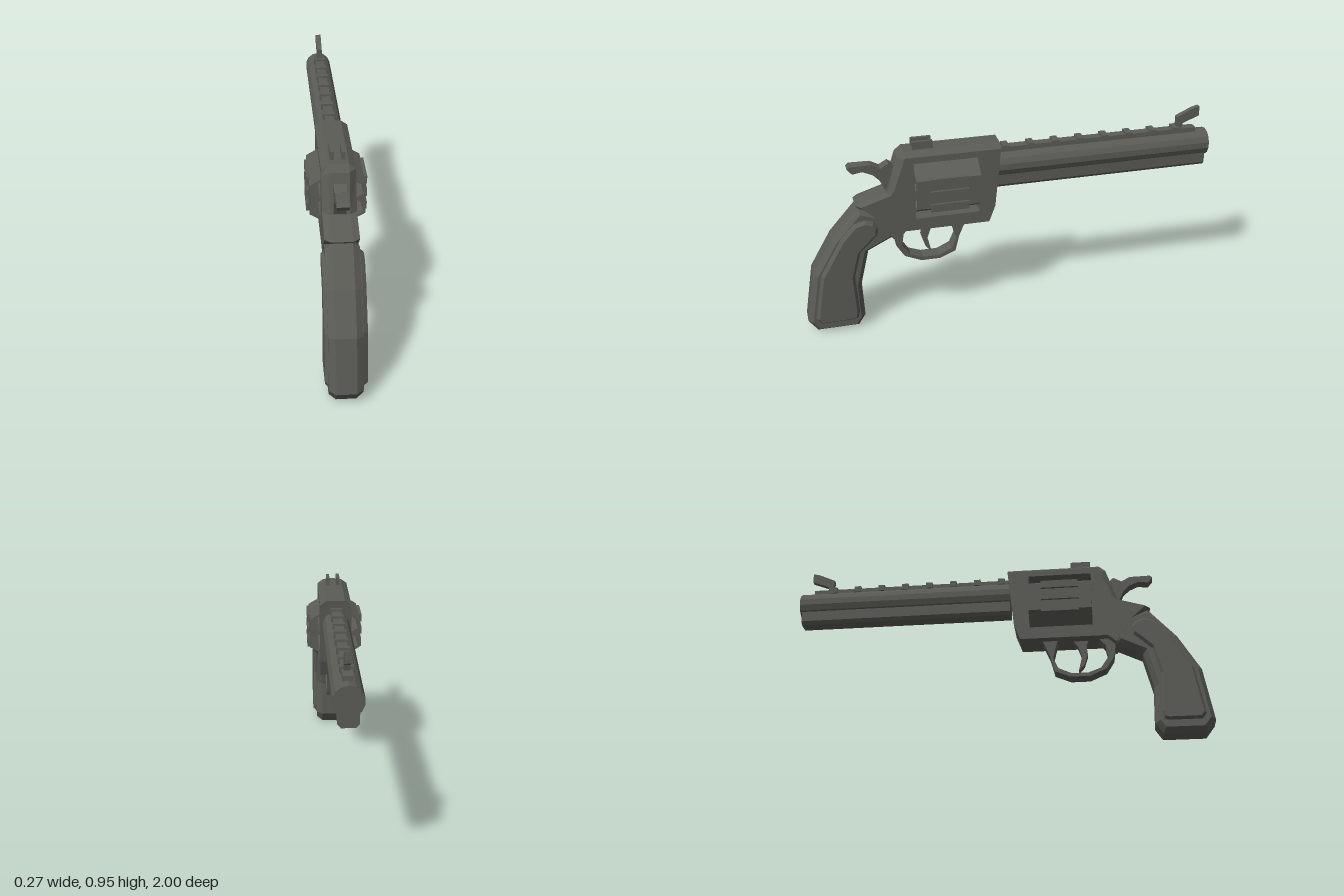
import * as THREE from 'three';

export function createModel() {
  const root = new THREE.Group();
  const steel = new THREE.MeshStandardMaterial({ color: 0x5b5b56 });
  steel.name = 'gunmetal';

  const add = (name, geo) => {
    const g = geo.index ? geo.toNonIndexed() : geo;
    g.computeVertexNormals();
    const mesh = new THREE.Mesh(g, steel);
    mesh.name = name;
    root.add(mesh);
  };
  const box = (name, w, h, d, x, y, z) =>
    add(name, new THREE.BoxGeometry(w, h, d).translate(x, y, z));
  const outline = (pts) => new THREE.Shape(pts.map(([a, b]) => new THREE.Vector2(a, b)));

  // Side profile shape in (z, y), extruded from x0 to x1 with an inward bevel
  const sideShape = (shape, x0, x1, bevelT = 0, bevelS = 0, steps = 1) => {
    const geo = new THREE.ExtrudeGeometry(shape, {
      depth: x1 - x0 - 2 * bevelT, steps, bevelEnabled: bevelT > 0, bevelThickness: bevelT,
      bevelSize: bevelS, bevelOffset: -bevelS, bevelSegments: 1,
    });
    geo.translate(0, 0, bevelT);
    return geo.rotateY(-Math.PI / 2).translate(x1, 0, 0);
  };
  const side = (pts, ...rest) => sideShape(outline(pts), ...rest);

  // Frame with a window, chamfered along the top and back
  const frame = outline([
    [0.05, 0.892], [0.08, 0.58], [0.11, 0.5], [0.53, 0.5], [0.57, 0.465], [0.65, 0.59],
    [0.725, 0.635], [0.737, 0.648], [0.587, 0.695], [0.532, 0.866], [0.5, 0.892],
  ]);
  frame.holes.push(outline([[0.155, 0.56], [0.46, 0.56], [0.46, 0.84], [0.155, 0.84]]));
  const frameGeo = sideShape(frame, -0.075, 0.075, 0, 0, 3);
  const p = frameGeo.attributes.position;
  for (let i = 0; i < p.count; i++) {
    const x = p.getX(i), y = p.getY(i), z = p.getZ(i);
    if (Math.abs(x) < 0.05) p.setX(i, Math.sign(x) * 0.045);
    else {
      if (y > 0.85) p.setY(i, y - 0.021);
      if (z > 0.515 && y > 0.6) p.setZ(i, z - 0.024);
    }
  }
  add('frame', frameGeo);

  // Grip core and its two raised side panels
  add('grip', side([
    [0.725, 0.637], [0.855, 0.49], [0.957, 0.315], [1, 0.06], [0.957, 0.003], [0.76, 0.003],
    [0.726, 0.055], [0.732, 0.235], [0.69, 0.406], [0.57, 0.465], [0.56, 0.52], [0.62, 0.6],
  ], -0.074, 0.074, 0.03, 0.022));
  const panel = [
    [0.7, 0.583], [0.66, 0.57], [0.64, 0.54], [0.645, 0.5], [0.73, 0.42], [0.764, 0.29],
    [0.753, 0.1], [0.762, 0.065], [0.785, 0.055], [0.94, 0.055], [0.962, 0.085],
    [0.922, 0.315], [0.815, 0.5], [0.75, 0.57],
  ];
  add('leftGripPanel', side(panel, 0.03, 0.094, 0.018, 0.014));
  add('rightGripPanel', side(panel, -0.088, -0.03, 0.018, 0.014));

  // Cylinder with six open chambers
  const polar = (r, deg, cx = 0, cy = 0) => {
    const a = THREE.MathUtils.degToRad(deg);
    return [cx + r * Math.cos(a), cy + r * Math.sin(a)];
  };
  const ring = [];
  for (let i = 0; i < 12; i++) ring.push(polar(i % 2 ? 0.142 : 0.123, i * 30));
  const drum = outline(ring);
  for (let i = 0; i < 6; i++) {
    const a = 30 + i * 60, [cx, cy] = polar(0.09, a);
    drum.holes.push(outline([0, 1, 2, 3, 4, 5].map((k) => polar(0.04, a + k * 60, cx, cy))));
  }
  add('cylinder', new THREE.ExtrudeGeometry(drum, { depth: 0.304, bevelEnabled: false })
    .translate(0, 0.7, 0.1555));
  for (const s of [-1, 1])
    for (const y of [0.76, 0.698, 0.633])
      box('cylinderRib', 0.016, 0.038, 0.18, s * 0.127, y, 0.307);

  // Barrel and the lug beneath it
  add('barrel', new THREE.CylinderGeometry(0.066, 0.066, 1.06, 14).rotateX(Math.PI / 2)
    .translate(0, 0.769, -0.47));
  add('barrelLug', new THREE.ExtrudeGeometry(outline([
    [-0.03, 0.656], [0.03, 0.656], [0.044, 0.672], [0.046, 0.73], [0.04, 0.77],
    [-0.04, 0.77], [-0.046, 0.73], [-0.044, 0.672],
  ]), { depth: 1.05, bevelEnabled: false }).translate(0, 0, -0.99));

  // Top rib with evenly spaced raised bars
  box('topRib', 0.044, 0.04, 0.99, 0, 0.833, -0.445);
  for (let i = 0; i < 8; i++) box('ribBar', 0.058, 0.03, 0.032, 0, 0.848, 0.015 - i * 0.122);

  // Sights
  add('frontSight', side([
    [-0.845, 0.912], [-0.845, 0.85], [-0.87, 0.85], [-0.875, 0.877], [-0.957, 0.909],
    [-0.957, 0.956], [-0.925, 0.948],
  ], -0.013, 0.013));
  for (const s of [-1, 1]) box('rearSight', 0.016, 0.05, 0.096, s * 0.025, 0.904, 0.41);

  // Hammer
  add('hammer', side([
    [0.76, 0.825], [0.737, 0.798], [0.69, 0.805], [0.645, 0.785], [0.614, 0.754],
    [0.59, 0.7], [0.53, 0.72], [0.53, 0.8], [0.57, 0.834], [0.608, 0.812], [0.65, 0.834],
    [0.748, 0.836],
  ], -0.027, 0.027));

  // Trigger guard and trigger
  add('triggerGuard', side([
    [0.57, 0.51], [0.555, 0.406], [0.517, 0.345], [0.437, 0.31], [0.346, 0.31],
    [0.27, 0.342], [0.25, 0.42], [0.212, 0.51], [0.29, 0.51], [0.276, 0.46], [0.264, 0.41],
    [0.288, 0.357], [0.35, 0.328], [0.43, 0.328], [0.49, 0.35], [0.528, 0.406],
    [0.517, 0.465], [0.48, 0.51],
  ], -0.035, 0.035));
  add('trigger', side([
    [0.44, 0.51], [0.355, 0.51], [0.385, 0.47], [0.402, 0.42], [0.384, 0.345],
    [0.412, 0.375], [0.43, 0.43], [0.425, 0.475],
  ], -0.02, 0.02));

  return root;
}
